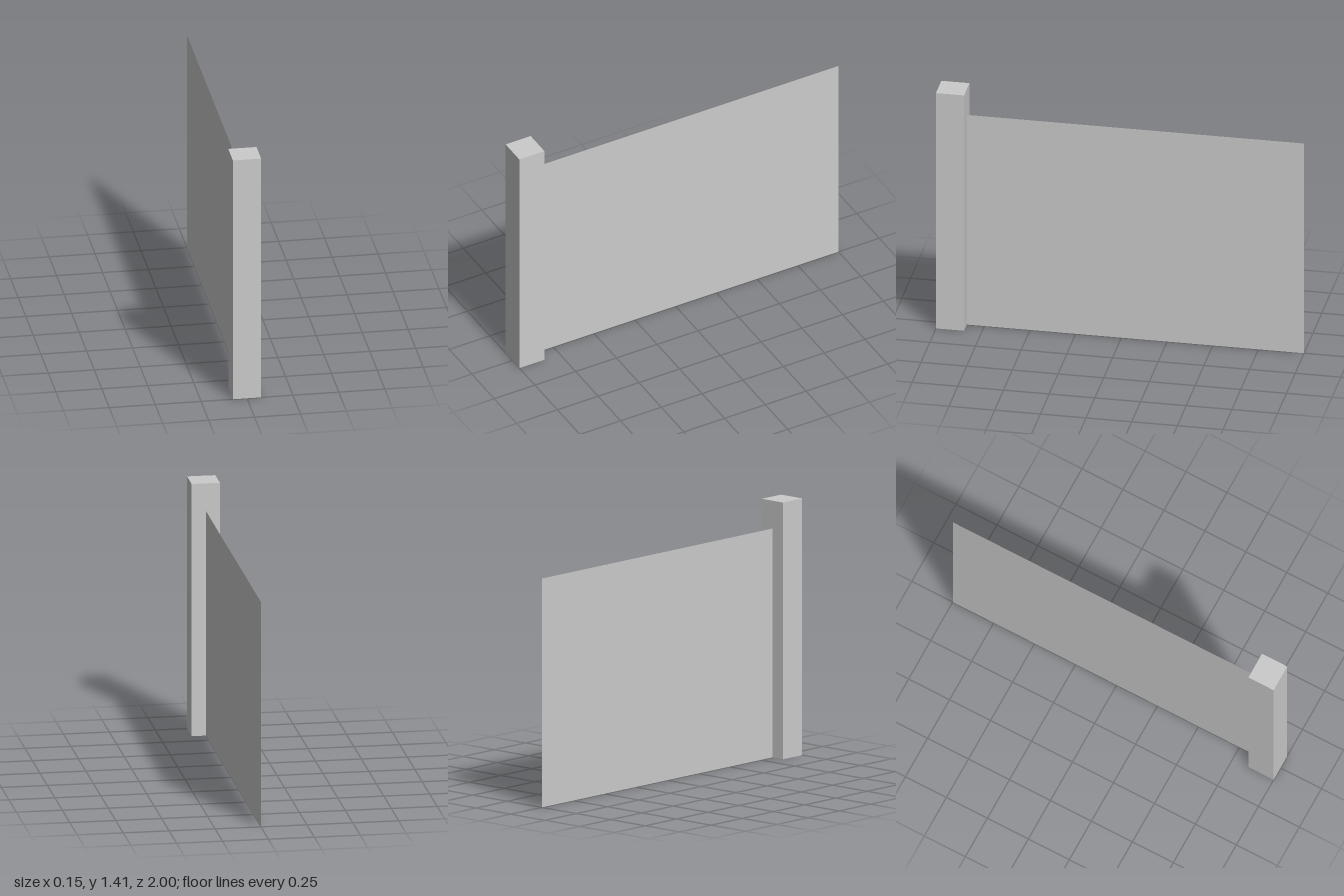
import * as THREE from 'three';

const POST = 0.154;         // post width and depth
const POST_HEIGHT = 1.407;
const PANEL_HEIGHT = 1.254;

export function createModel() {
  const group = new THREE.Group();
  group.name = 'fenceSection';

  // Square post at the front end
  const post = new THREE.Mesh(
    new THREE.BoxGeometry(POST, POST_HEIGHT, POST),
    new THREE.MeshStandardMaterial({ color: 0xcccccc, flatShading: true })
  );
  post.name = 'post';
  post.position.set(0, POST_HEIGHT / 2, 1 - POST / 2);
  group.add(post);

  // Thin flat panel running back from the middle of the post's rear face
  const length = 2 - POST;
  const panel = new THREE.Mesh(
    new THREE.PlaneGeometry(length, PANEL_HEIGHT),
    new THREE.MeshStandardMaterial({ color: 0xcccccc, flatShading: true, side: THREE.DoubleSide })
  );
  panel.name = 'panel';
  panel.rotation.y = Math.PI / 2;
  panel.position.set(0, PANEL_HEIGHT / 2, -1 + length / 2);
  group.add(panel);

  return group;
}
